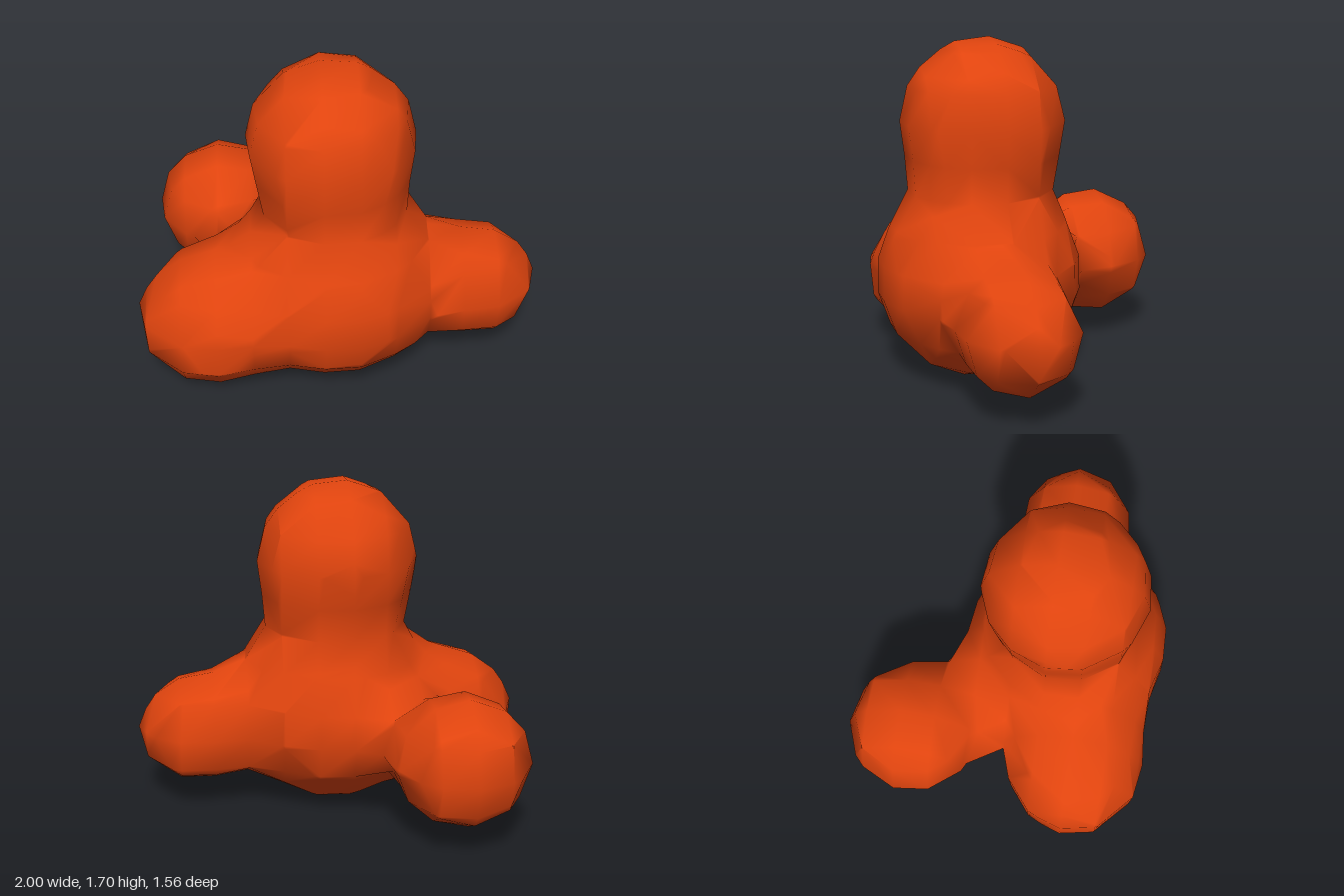
import * as THREE from 'three';

// Blobs that melt into one body: centre and radius
const body = { c: new THREE.Vector3(-0.01, 0.5, 0.285), r: 0.485 };
const lobes = [
  { c: new THREE.Vector3(-0.035, 1.29, 0.255), r: 0.41 },  // head
  { c: new THREE.Vector3(0.715, 0.395, 0.23), r: 0.285 },  // left arm
  { c: new THREE.Vector3(-0.655, 0.355, 0.41), r: 0.35 },  // right arm
  { c: new THREE.Vector3(-0.585, 0.43, -0.435), r: 0.34 }, // back arm
];

// Smooth union of two distances
function blend(a, b, k) {
  const h = Math.max(k - Math.abs(a - b), 0);
  return Math.min(a, b) - h * h / (4 * k);
}

// Signed distance to the blended shape
function field(p) {
  const core = p.distanceTo(body.c) - body.r;
  return lobes
    .map(l => blend(core, p.distanceTo(l.c) - l.r, 0.376))
    .reduce((a, b) => blend(a, b, 0.06));
}

// The six faces of a cell as corner numbers (bit 0 = x, 1 = y, 2 = z), counter-clockwise from outside
const cellFaces = [];
for (let n = 0; n < 3; n++) {
  const u = 1 << (n + 1) % 3, v = 1 << (n + 2) % 3, w = 1 << n;
  cellFaces.push([w, w + u, w + u + v, w + v], [0, v, u + v, u]);
}

// Coarse polygon skin of the field, one polygon loop per surface piece in each cell
function skin(origin, step, [nx, ny, nz]) {
  const id = (i, j, k) => i + (nx + 1) * (j + (ny + 1) * k);
  const points = [], values = [];
  for (let k = 0; k <= nz; k++)
    for (let j = 0; j <= ny; j++)
      for (let i = 0; i <= nx; i++) {
        const p = new THREE.Vector3(i, j, k).multiplyScalar(step).add(origin);
        points.push(p);
        values.push(field(p));
      }

  // Vertex where the surface crosses a grid edge, shared between cells
  const positions = [], index = [], known = new Map();
  function crossing(a, b) {
    const key = Math.min(a, b) + '_' + Math.max(a, b);
    if (!known.has(key)) {
      known.set(key, positions.length / 3);
      const p = points[a].clone().lerp(points[b], values[a] / (values[a] - values[b]));
      positions.push(p.x, p.y, p.z);
    }
    return known.get(key);
  }

  for (let k = 0; k < nz; k++)
    for (let j = 0; j < ny; j++)
      for (let i = 0; i < nx; i++) {
        const corner = c => id(i + (c & 1), j + (c >> 1 & 1), k + (c >> 2));
        const next = new Map();
        for (const face of cellFaces) {
          const g = face.map(corner);
          const inside = g.map(q => values[q] < 0);
          for (let e = 0; e < 4; e++) {
            if (!inside[e] || inside[(e + 1) % 4]) continue;
            // Leaves the solid here; join to where it enters again
            let f = (e + 1) % 4;
            while (inside[f] || !inside[(f + 1) % 4]) f = (f + 1) % 4;
            next.set(crossing(g[e], g[(e + 1) % 4]), crossing(g[f], g[(f + 1) % 4]));
          }
        }
        // Follow the joins round each loop and fill it with a fan
        while (next.size) {
          const loop = [];
          let v = next.keys().next().value;
          while (next.has(v)) {
            loop.push(v);
            const to = next.get(v);
            next.delete(v);
            v = to;
          }
          for (let t = 1; t < loop.length - 1; t++) index.push(loop[0], loop[t + 1], loop[t]);
        }
      }

  const geometry = new THREE.BufferGeometry();
  geometry.setAttribute('position', new THREE.Float32BufferAttribute(positions, 3));
  geometry.setIndex(index);
  geometry.computeVertexNormals();
  return geometry;
}

export function createModel() {
  const group = new THREE.Group();
  group.name = 'blobFigure';
  const geometry = skin(new THREE.Vector3(-1.128, -0.102, -1.008), 0.174, [14, 12, 12]);
  const mesh = new THREE.Mesh(geometry, new THREE.MeshStandardMaterial({ color: 0xe0440e }));
  mesh.name = 'blendedBody';
  group.add(mesh);
  return group;
}
